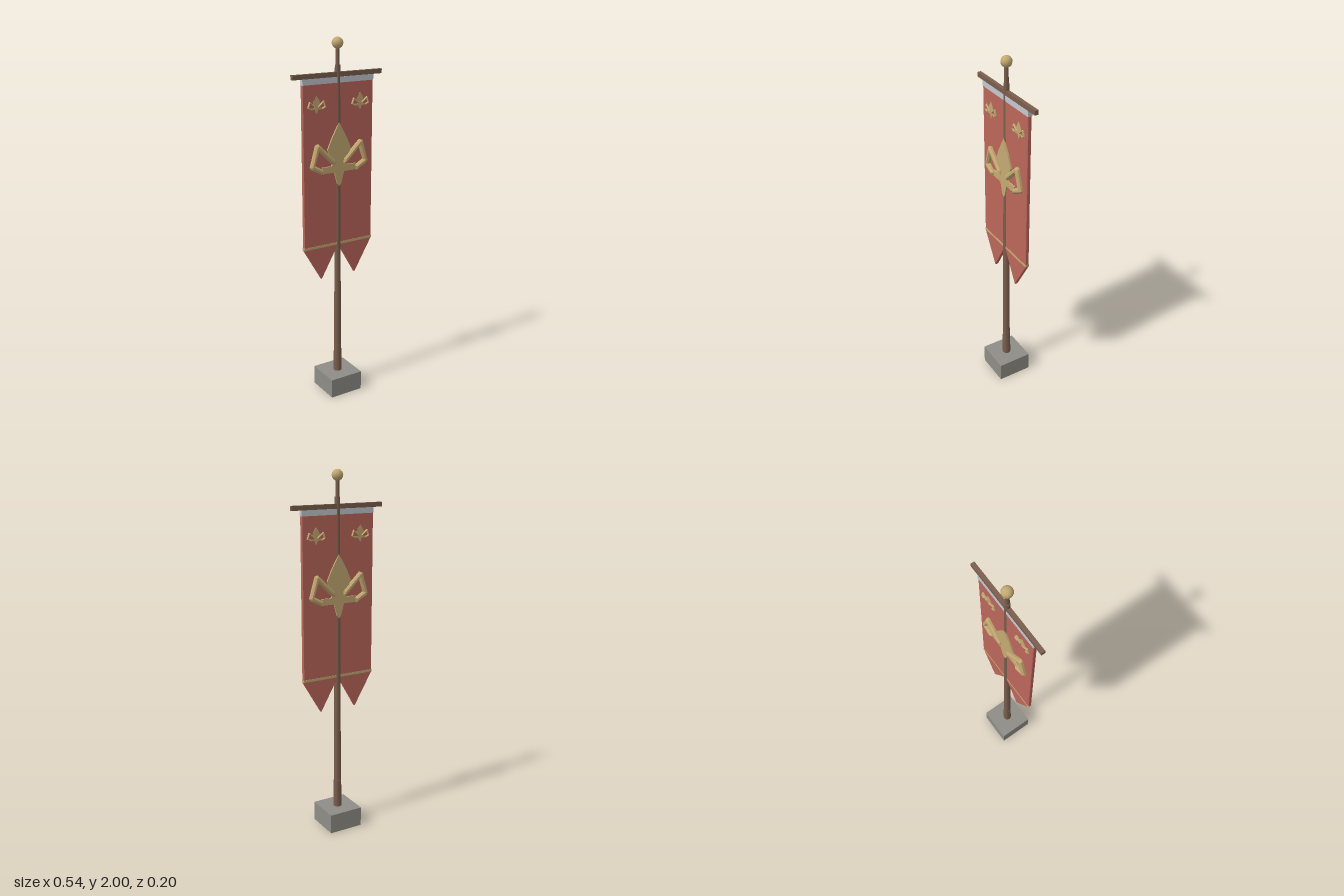
import * as THREE from 'three';

function material(name, color) {
  const m = new THREE.MeshStandardMaterial({ color });
  m.name = name;
  return m;
}

export function createModel() {
  const wood = material('wood', 0x7a5f4d);
  const stone = material('stone', 0x8f8d86);
  const cloth = material('red cloth', 0xbc675b);
  const gold = material('gold', 0xc4aa72);
  const white = material('pale hem', 0xc4c8d0);

  const model = new THREE.Group();
  model.name = 'banner';

  function add(parent, name, geometry, mat, x = 0, y = 0, z = 0) {
    const mesh = new THREE.Mesh(geometry, mat);
    mesh.name = name;
    mesh.position.set(x, y, z);
    parent.add(mesh);
    return mesh;
  }

  // Flat outline extruded evenly to both sides of z = 0, with a chamfered rim
  function plate(points, halfDepth, bevel) {
    const shape = new THREE.Shape(points.map(([x, y]) => new THREE.Vector2(x, y)));
    const depth = 2 * (halfDepth - bevel);
    const g = new THREE.ExtrudeGeometry(shape, {
      depth, bevelEnabled: bevel > 0, bevelSize: bevel, bevelThickness: bevel,
      bevelOffset: -bevel, bevelSegments: 1,
    });
    return g.translate(0, 0, -depth / 2);
  }
  const mirror = (points) => points.map(([x, y]) => [-x, y]).reverse();

  // Stone foot
  add(model, 'base', new THREE.BoxGeometry(0.197, 0.11, 0.197), stone, 0, 0.055, 0);

  // Stepped, tapering pole: [bottom y, top y, bottom radius, top radius]
  const sections = [
    [0.1, 0.27, 0.024, 0.022],
    [0.27, 0.9, 0.02, 0.018],
    [0.9, 1.86, 0.018, 0.0145],
    [1.86, 1.95, 0.0115, 0.0105],
  ];
  sections.forEach(([y0, y1, r0, r1], i) => {
    const g = new THREE.CylinderGeometry(r1, r0, y1 - y0, 10);
    add(model, `poleSection${i + 1}`, g, wood, 0, (y0 + y1) / 2, 0);
  });
  add(model, 'finial', new THREE.SphereGeometry(0.03, 10, 8), gold, 0, 1.97, 0);
  add(model, 'crossbar', new THREE.BoxGeometry(0.54, 0.024, 0.021), wood, 0, 1.812, 0);

  // Swallow-tailed cloth with two points
  const half = [[0.214, 1.8], [0.214, 0.885], [0.107, 0.703], [0.006, 0.88]];
  add(model, 'cloth', plate([...half, ...mirror(half)], 0.0105, 0.003), cloth);
  add(model, 'topHem', new THREE.BoxGeometry(0.43, 0.03, 0.024), white, 0, 1.785, 0);
  add(model, 'lowerTrim', new THREE.BoxGeometry(0.43, 0.014, 0.024), gold, 0, 0.895, 0);

  // Emblem outlines, drawn for the +x half
  const leaf = [
    [0, 1.565], [0.045, 1.485], [0.072, 1.425], [0.055, 1.385], [0.03, 1.36],
    [0.05, 1.335], [0.105, 1.335], [0.1, 1.3], [0.03, 1.3], [0.012, 1.235], [0, 1.22],
  ];
  const arm = [
    [0.025, 1.345], [0.028, 1.368], [0.128, 1.463], [0.145, 1.457], [0.178, 1.343],
    [0.168, 1.328], [0.108, 1.297], [0.098, 1.322], [0.15, 1.352], [0.126, 1.425], [0.045, 1.345],
  ];
  const leafGeometry = plate([...leaf, ...mirror(leaf).slice(1, -1)], 0.019, 0);
  const armGeometries = [plate(arm, 0.031, 0.009), plate(mirror(arm), 0.031, 0.009)];

  function emblem(name, x, y, sx, sy, sz) {
    const group = new THREE.Group();
    group.name = name;
    group.scale.set(sx, sy, sz);
    group.position.set(x, y - 1.39 * sy, 0);
    add(group, 'leaf', leafGeometry, gold);
    add(group, 'leftArm', armGeometries[0], gold);
    add(group, 'rightArm', armGeometries[1], gold);
    model.add(group);
  }

  // Large central emblem and two small ones in the upper corners
  emblem('largeEmblem', 0, 1.39, 1, 1, 1);
  for (const side of [1, -1]) {
    emblem(side > 0 ? 'leftSmallEmblem' : 'rightSmallEmblem', side * 0.133, 1.667, 0.31, 0.27, 0.62);
  }

  return model;
}
